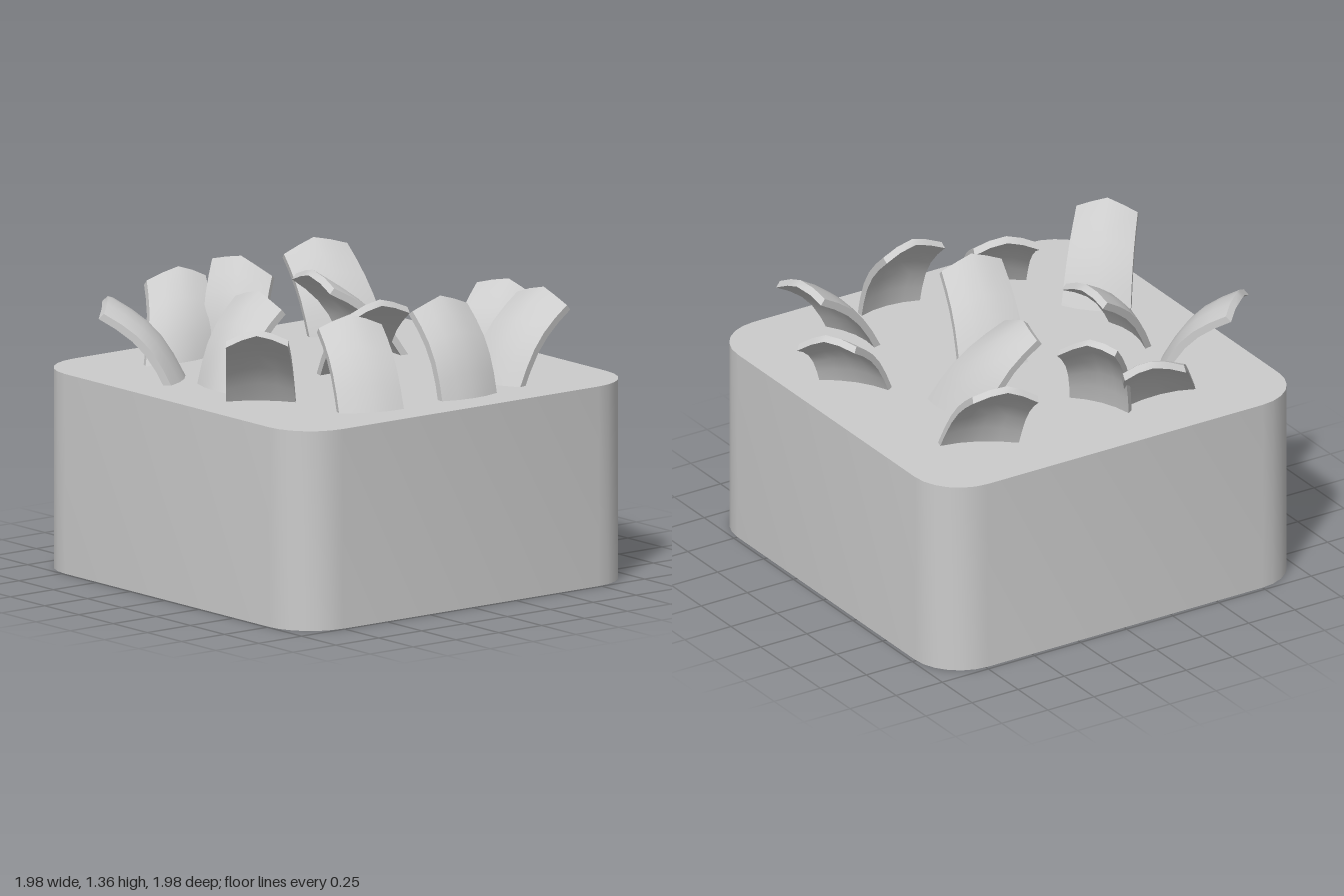
import * as THREE from 'three';
import { toCreasedNormals } from 'three/addons/utils/BufferGeometryUtils.js';

const material = new THREE.MeshStandardMaterial({ color: 0xcccccc });
const TOP = 0.93;

// Each flake: left base x,z, right base x,z, then left tip x,y,z, right tip x,y,z
const FLAKES = [
  [-0.77, -0.24, -0.54, -0.44, -0.97, 1.25, -0.48, -0.75, 1.25, -0.67],
  [-0.60, -0.64, -0.24, -0.62, -0.33, 1.24, -0.97, -0.05, 1.24, -0.89],
  [-0.22, -0.70, -0.08, -0.42, -0.06, 1.33, -0.83, 0.09, 1.27, -0.58],
  [0.38, -0.67, 0.70, -0.50, 0.43, 1.27, -0.92, 0.72, 1.30, -0.82],
  [0.50, -0.10, 0.43, -0.45, 0.14, 1.27, -0.19, 0.15, 1.29, -0.48],
  [-0.65, -0.20, -0.66, 0.12, -0.34, 1.28, -0.31, -0.31, 1.26, -0.01],
  [0.22, 0.06, -0.09, -0.03, 0.12, 1.28, 0.37, -0.18, 1.28, 0.33],
  [0.57, 0.09, 0.78, 0.35, 0.82, 1.24, 0.00, 0.97, 1.19, 0.25],
  [-0.53, 0.37, -0.77, 0.16, -0.76, 1.28, 0.60, -0.97, 1.27, 0.41],
  [-0.55, 0.71, -0.26, 0.82, -0.43, 1.26, 0.41, -0.15, 1.26, 0.52],
  [-0.02, 0.80, 0.29, 0.81, -0.01, 1.31, 0.57, 0.30, 1.31, 0.58],
  [0.38, 0.48, 0.45, 0.78, 0.72, 1.28, 0.42, 0.77, 1.26, 0.72],
];

// Block with rounded upright corners
function blockGeometry() {
  const h = 0.985, r = 0.24, c = h - r;
  const shape = new THREE.Shape();
  shape.absarc(c, c, r, 0, Math.PI / 2);
  shape.absarc(-c, c, r, Math.PI / 2, Math.PI);
  shape.absarc(-c, -c, r, Math.PI, Math.PI * 1.5);
  shape.absarc(c, -c, r, Math.PI * 1.5, Math.PI * 2);
  const geo = new THREE.ExtrudeGeometry(shape, { depth: TOP, bevelEnabled: false, curveSegments: 3 });
  geo.rotateX(-Math.PI / 2);
  geo.translate(-0.005, 0, 0.005);
  return toCreasedNormals(geo, 0.7);
}

// Curled flake: crowned across its width, bent along its length, pointed tip
function flakeGeometry([ax, az, bx, bz, tax, tay, taz, tbx, tby, tbz]) {
  const a = new THREE.Vector3(ax, TOP, az), b = new THREE.Vector3(bx, TOP, bz);
  const ta = new THREE.Vector3(tax, tay, taz), tb = new THREE.Vector3(tbx, tby, tbz);
  const along = ta.clone().add(tb).sub(a).sub(b).normalize();
  const across = b.clone().sub(a).add(tb).sub(ta).normalize();
  const normal = across.clone().cross(along).normalize();
  const rows = [-0.15, 0, 0.2, 0.4, 0.6, 0.8, 1], cols = [0, 0.25, 0.5, 0.75, 1];
  const n = rows.length, m = cols.length, thickness = 0.035;
  const positions = [], index = [];

  for (const depth of [0, thickness]) {
    for (const t of rows) {
      const left = a.clone().lerp(ta, t), right = b.clone().lerp(tb, t);
      for (const s of cols) {
        const p = left.clone().lerp(right, s);
        const crown = 0.03 * (1 - (2 * s - 1) ** 2);
        p.addScaledVector(normal, 0.045 * Math.sin(Math.PI * t) + crown - depth);
        p.addScaledVector(along, 0.045 * Math.max(t, 0) * (1 - Math.abs(2 * s - 1)));
        positions.push(p.x, p.y, p.z);
      }
    }
  }
  const upper = (i, j) => i * m + j;
  const lower = (i, j) => n * m + i * m + j;
  const quad = (p, q, r, s) => index.push(p, q, r, p, r, s);
  for (let i = 0; i < n - 1; i++) {
    for (let j = 0; j < m - 1; j++) {
      quad(upper(i, j), upper(i, j + 1), upper(i + 1, j + 1), upper(i + 1, j));
      quad(lower(i, j), lower(i + 1, j), lower(i + 1, j + 1), lower(i, j + 1));
    }
    // side edges
    quad(upper(i, 0), upper(i + 1, 0), lower(i + 1, 0), lower(i, 0));
    quad(upper(i, m - 1), lower(i, m - 1), lower(i + 1, m - 1), upper(i + 1, m - 1));
  }
  for (let j = 0; j < m - 1; j++) {
    // tip and buried end
    quad(upper(n - 1, j), upper(n - 1, j + 1), lower(n - 1, j + 1), lower(n - 1, j));
    quad(upper(0, j), lower(0, j), lower(0, j + 1), upper(0, j + 1));
  }
  const geo = new THREE.BufferGeometry();
  geo.setAttribute('position', new THREE.Float32BufferAttribute(positions, 3));
  geo.setIndex(index);
  return toCreasedNormals(geo, 0.7);
}

export function createModel() {
  const model = new THREE.Group();
  model.name = 'blockWithFlakes';

  const block = new THREE.Mesh(blockGeometry(), material);
  block.name = 'block';
  model.add(block);

  const flakes = new THREE.Group();
  flakes.name = 'flakes';
  FLAKES.forEach((spec, i) => {
    const flake = new THREE.Mesh(flakeGeometry(spec), material);
    flake.name = `flake${i + 1}`;
    flakes.add(flake);
  });
  model.add(flakes);
  return model;
}
